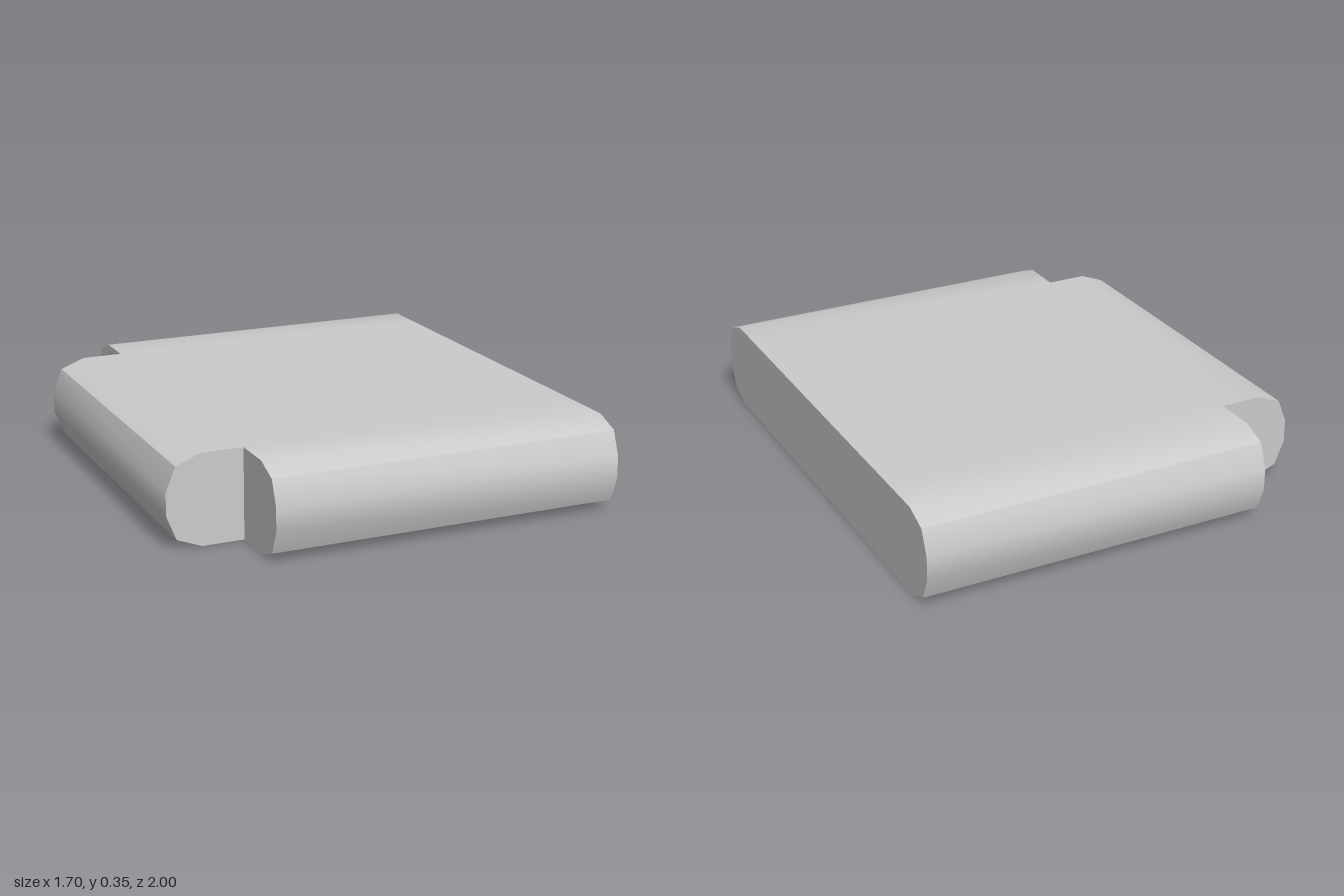
import * as THREE from 'three';
import { toCreasedNormals } from 'three/addons/utils/BufferGeometryUtils.js';

const H = 0.355;      // height
const SPAN = 1.4;     // square middle section
const HALF = SPAN / 2;

// Bullnose cross-section: [distance outward from the middle section, height]
const NOSE = [
  [0, H], [0.165, H], [0.262, 0.317], [0.3, 0.222],
  [0.3, 0.133], [0.262, 0.038], [0.165, 0], [0, 0],
];

const material = new THREE.MeshStandardMaterial({ color: 0xcccccc, side: THREE.DoubleSide });

function part(name, geometry) {
  const mesh = new THREE.Mesh(geometry, material);
  mesh.name = name;
  return mesh;
}

// Open strip sweeping the nose section along x, facing +z
function noseGeometry() {
  const pos = [];
  for (let i = 0; i < NOSE.length - 1; i++) {
    const [z0, y0] = NOSE[i], [z1, y1] = NOSE[i + 1];
    pos.push(-HALF, y0, z0, -HALF, y1, z1, HALF, y1, z1);
    pos.push(-HALF, y0, z0, HALF, y1, z1, HALF, y0, z0);
  }
  const g = new THREE.BufferGeometry();
  g.setAttribute('position', new THREE.Float32BufferAttribute(pos, 3));
  return toCreasedNormals(g, 0.5);
}

// Flat end wall of a nose strip; side is -1 or +1 along x
function noseCap(side) {
  const shape = new THREE.Shape(NOSE.map(([d, y]) => new THREE.Vector2(-side * d, y)));
  return new THREE.ShapeGeometry(shape).rotateY(side * Math.PI / 2).translate(side * HALF, 0, 0);
}

// Rounded edge with the chosen end walls
function roundedEdge(name, capSides) {
  const group = new THREE.Group();
  group.name = name;
  group.add(part('roundedShell', noseGeometry()));
  for (const side of capSides) group.add(part('endWall', noseCap(side)));
  return group;
}

export function createModel() {
  const model = new THREE.Group();
  model.name = 'hollowCushionBlock';
  const cx = 0.15; // centre of the middle section

  // Top panel; the underside between the edges stays open
  const top = part('topPanel', new THREE.PlaneGeometry(SPAN, SPAN).rotateX(-Math.PI / 2));
  top.position.set(cx, H, 0);
  model.add(top);

  // Front and back rounded edges
  const front = roundedEdge('frontEdge', [-1]);
  front.position.set(cx, 0, HALF);
  const back = roundedEdge('backEdge', [1]);
  back.position.set(cx, 0, -HALF);
  back.rotation.y = Math.PI;

  // Narrower rounded edge between the two corner notches
  const tab = roundedEdge('sideTab', [-1, 1]);
  tab.position.set(cx - HALF, 0, 0);
  tab.rotation.y = -Math.PI / 2;
  model.add(front, back, tab);

  // Full flat wall on the opposite side
  const outline = [
    ...NOSE.map(([d, y]) => new THREE.Vector2(HALF + d, y)),
    ...[...NOSE].reverse().map(([d, y]) => new THREE.Vector2(-HALF - d, y)),
  ];
  const wall = part('flatSideWall', new THREE.ShapeGeometry(new THREE.Shape(outline)).rotateY(Math.PI / 2));
  wall.position.x = cx + HALF;
  model.add(wall);

  return model;
}
